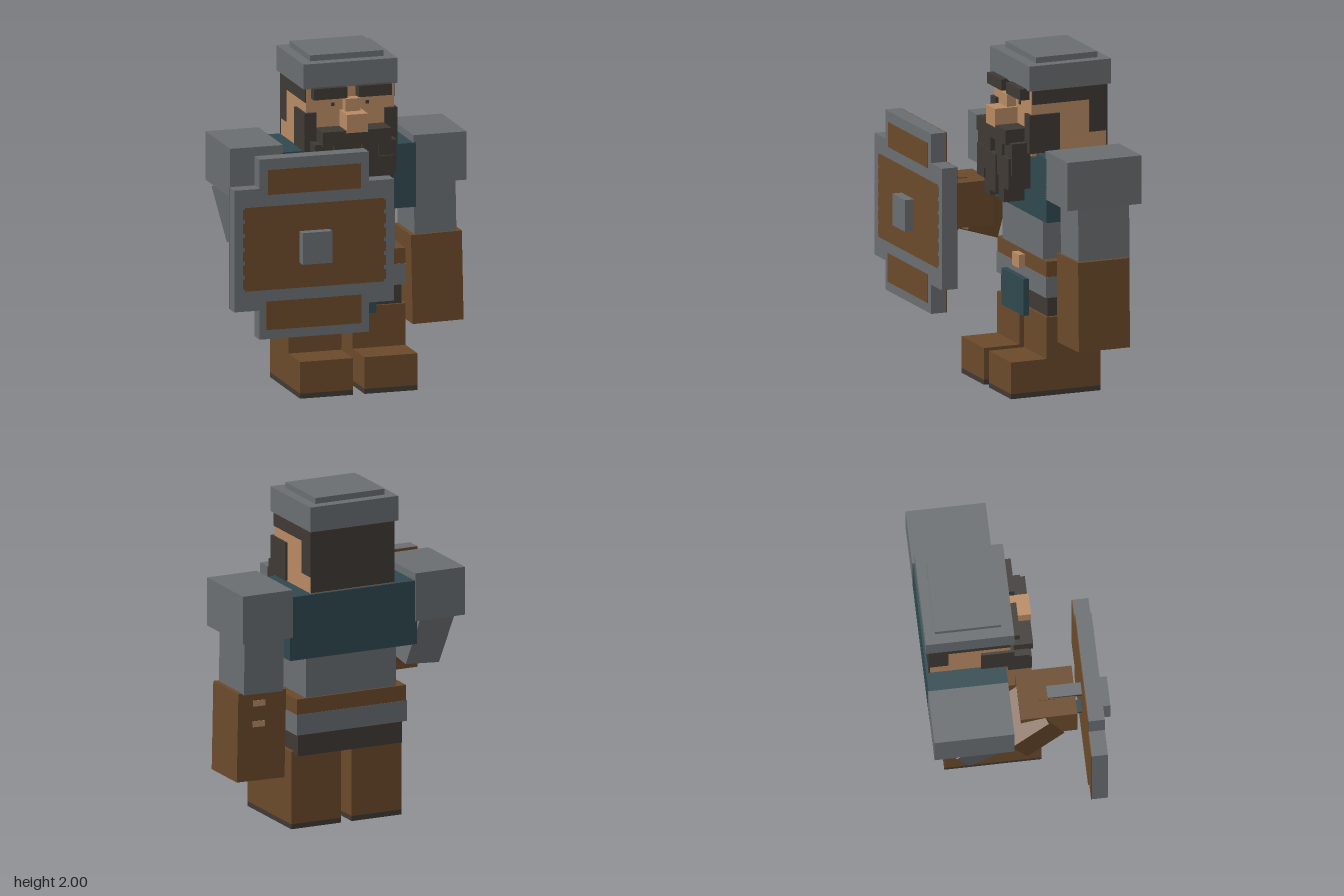
import * as THREE from 'three';

const mat = (name, color) => new THREE.MeshStandardMaterial({ name, color });

export function createModel() {
  const steel = mat('steel', 0x6a6e71), leather = mat('leather', 0x6b4a2b), teal = mat('tealCloth', 0x30494f);
  const dark = mat('darkHair', 0x3f3a35), skin = mat('skin', 0xb88a64);
  const root = new THREE.Group();
  root.name = 'shieldWarrior';

  const group = (name) => {
    const g = new THREE.Group();
    g.name = name;
    root.add(g);
    return g;
  };
  // box given by its extents
  const box = (parent, name, m, x0, x1, y0, y1, z0, z1) => {
    const mesh = new THREE.Mesh(new THREE.BoxGeometry(x1 - x0, y1 - y0, z1 - z0), m);
    mesh.position.set((x0 + x1) / 2, (y0 + y1) / 2, (z0 + z1) / 2);
    mesh.name = name;
    parent.add(mesh);
    return mesh;
  };
  // two boxes mirrored about the body's centre plane
  const C = 0.07;
  const pair = (parent, name, m, d0, d1, ...rest) => {
    box(parent, name + 'Left', m, C + d0, C + d1, ...rest);
    box(parent, name + 'Right', m, C - d1, C - d0, ...rest);
  };

  // head, hair and helmet
  const head = group('head');
  box(head, 'skull', skin, -0.2, 0.34, 1.42, 1.82, -0.505, -0.03);
  box(head, 'hairBack', dark, -0.203, 0.343, 1.44, 1.82, -0.512, -0.505);
  pair(head, 'hairTemple', dark, 0.27, 0.275, 1.73, 1.82, -0.51, -0.032);
  pair(head, 'hairSide', dark, 0.27, 0.275, 1.535, 1.73, -0.51, -0.395);
  pair(head, 'sideburn', dark, 0.21, 0.285, 1.44, 1.67, -0.205, -0.01);
  pair(head, 'eyebrow', dark, 0.035, 0.24, 1.755, 1.822, -0.03, 0.03);
  pair(head, 'eye', dark, 0.095, 0.115, 1.7, 1.72, -0.03, -0.024);
  box(head, 'noseBridge', skin, 0.025, 0.115, 1.65, 1.75, -0.03, 0.03);
  box(head, 'noseTip', skin, 0.005, 0.135, 1.565, 1.675, -0.03, 0.115);
  box(head, 'helmetBand', steel, -0.22, 0.355, 1.815, 1.965, -0.53, -0.01);
  box(head, 'helmetTop', steel, -0.158, 0.292, 1.965, 2, -0.47, -0.08);

  // stepped beard blocks
  const beard = group('beard');
  box(beard, 'moustache', dark, -0.14, 0.28, 1.49, 1.578, -0.05, 0.11);
  box(beard, 'beardCore', dark, -0.1, 0.24, 1.25, 1.5, -0.05, 0.07);
  pair(beard, 'beardCheek', dark, 0.14, 0.25, 1.31, 1.5, -0.03, 0.085);
  pair(beard, 'beardSide', dark, 0.13, 0.23, 1.22, 1.41, -0.04, 0.1);
  pair(beard, 'beardLock', dark, 0.035, 0.135, 1.28, 1.49, -0.03, 0.1);
  pair(beard, 'beardTip', dark, 0.06, 0.145, 1.13, 1.3, -0.04, 0.09);
  box(beard, 'beardMiddle', dark, 0.01, 0.13, 1.17, 1.4, -0.04, 0.108);

  // body
  const body = group('body');
  box(body, 'cape', teal, -0.345, 0.485, 1.05, 1.435, -0.525, -0.06);
  box(body, 'chainmail', steel, -0.225, 0.365, 0.8, 1.06, -0.49, -0.09);
  box(body, 'belt', leather, -0.285, 0.428, 0.71, 0.803, -0.5, -0.085);
  box(body, 'skirt', steel, -0.29, 0.43, 0.585, 0.71, -0.502, -0.082);
  box(body, 'buckle', skin, 0.02, 0.12, 0.7, 0.78, -0.09, -0.045);
  box(body, 'loincloth', teal, -0.09, 0.23, 0.44, 0.66, -0.06, -0.025);
  box(body, 'trousers', dark, -0.27, 0.41, 0.45, 0.59, -0.475, -0.1);
  pair(body, 'pauldron', steel, 0.4, 0.725, 1.19, 1.48, -0.53, -0.06);

  // boots
  const boots = group('boots');
  pair(boots, 'bootShaft', leather, 0.035, 0.36, 0.22, 0.47, -0.43, -0.085);
  pair(boots, 'bootFoot', leather, 0.035, 0.36, 0.03, 0.22, -0.43, 0.14);
  pair(boots, 'sole', dark, 0.035, 0.36, 0, 0.03, -0.43, 0.14);

  // hanging left arm, slightly tilted
  const leftArm = group('leftArm');
  box(leftArm, 'leftSleeve', steel, 0.5, 0.757, 0.86, 1.2, -0.47, -0.145).rotation.z = 0.02;
  const glove = new THREE.Group();
  glove.name = 'leftGlove';
  glove.position.set(0.638, 0.6, -0.293);
  glove.rotation.z = 0.02;
  leftArm.add(glove);
  box(glove, 'gloveBlock', leather, -0.156, 0.156, -0.267, 0.267, -0.163, 0.163);
  for (const y of [0.2, 0.075]) box(glove, 'gloveOpening', skin, -0.02, 0.06, y - 0.018, y + 0.018, -0.166, -0.16);

  // bent right arm
  const rightArm = group('rightArm');
  const sleeve = box(rightArm, 'rightSleeve', steel, -0.6, -0.34, 0.91, 1.25, -0.4, -0.09);
  sleeve.rotation.set(-0.3, 0.2, 0.2);
  const forearm = box(rightArm, 'rightForearm', leather, -0.535, -0.235, 0.83, 1.13, -0.09, 0.17);
  forearm.rotation.set(-0.35, 0.37, 0, 'YXZ');
  box(rightArm, 'rightHand', leather, -0.46, -0.158, 0.905, 1.175, 0, 0.333);

  // shield
  const shield = group('shield');
  const SX = -0.31, SY = 0.995;
  const cross = (w, h, w2, h2) => new THREE.Shape([
    [w, -h2], [w, h2], [w2, h2], [w2, h], [-w2, h], [-w2, h2],
    [-w, h2], [-w, -h2], [-w2, -h2], [-w2, -h], [w2, -h], [w2, -h2],
  ].map(([x, y]) => new THREE.Vector2(x, y)));
  const slab = (name, m, z, depth) => {
    const geo = new THREE.ExtrudeGeometry(cross(0.49, 0.54, 0.335, 0.365), { depth, bevelEnabled: false });
    const mesh = new THREE.Mesh(geo, m);
    mesh.position.set(SX, SY, z);
    mesh.name = name;
    shield.add(mesh);
  };
  slab('shieldFrame', steel, 0.377, 0.095);
  slab('shieldBack', leather, 0.373, 0.004);
  box(shield, 'upperPanel', leather, -0.595, -0.025, 1.32, 1.47, 0.47, 0.475);
  box(shield, 'lowerPanel', leather, -0.605, -0.02, 0.51, 0.682, 0.47, 0.475);
  // main panel with small notches between the planks
  box(shield, 'mainPanel', leather, -0.735, 0.118, 0.75, 1.252, 0.47, 0.475);
  for (let i = 0; i < 6; i++) {
    const y = 0.765 + i * 0.083;
    box(shield, 'plankEnds', leather, -0.747, 0.13, y, y + 0.06, 0.469, 0.4745);
  }
  box(shield, 'boss', steel, -0.4, -0.217, 0.9, 1.09, 0.47, 0.533);

  // grip and its brackets
  box(shield, 'grip', leather, -0.355, -0.262, 0.88, 1.18, 0.12, 0.213);
  for (const [y, s] of [[1.174, 1], [0.881, -1]]) {
    box(shield, 'gripBracket', teal, -0.347, -0.272, y - 0.011, y + 0.011, 0.17, 0.375);
    const e = y + s * 0.013;
    box(shield, 'bracketPlate', steel, -0.347, -0.272, e - 0.003, e + 0.003, 0.17, 0.375);
  }
  return root;
}
